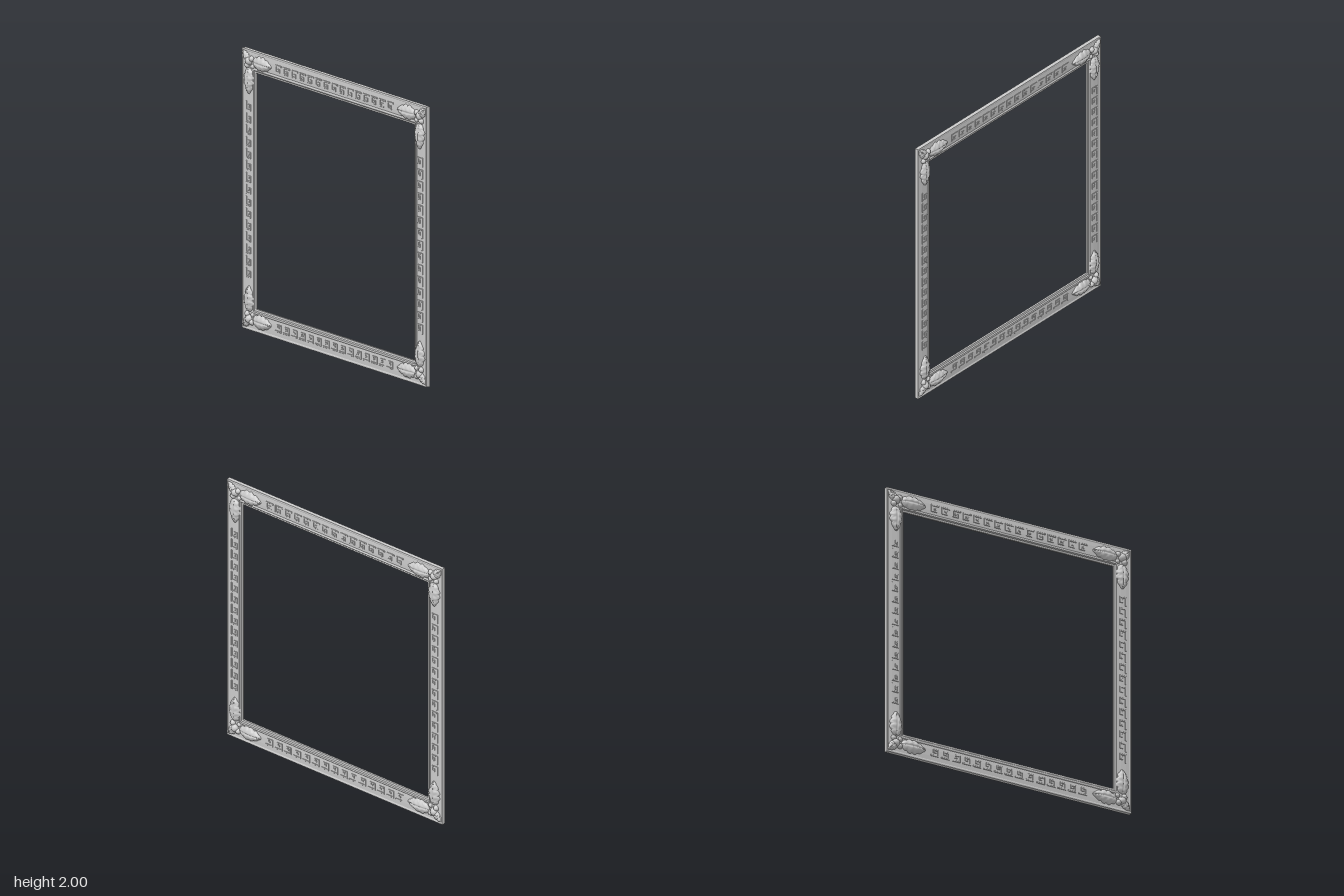
import * as THREE from 'three';
import { mergeGeometries } from 'three/addons/utils/BufferGeometryUtils.js';

const grey = new THREE.MeshStandardMaterial({ color: 0xcccccc });
const leafGrey = new THREE.MeshStandardMaterial({ color: 0xcccccc, side: THREE.DoubleSide });

// Outer and inner corners, anticlockwise from bottom left
const OUTER = [[-0.983, 0], [0.983, 0], [0.983, 2], [-0.983, 2]];
const INNER = [[-0.845, 0.16], [0.845, 0.16], [0.845, 1.845], [-0.845, 1.845]];

// Moulding section: [0 = outer edge .. 1 = inner edge, z]
const PROFILE = [
  [0, -0.014], [0, 0.014], [0.06, 0.015], [0.1, 0.012], [0.3, 0.014], [0.6, 0.014],
  [0.78, 0.012], [0.82, 0.016], [0.88, 0.016], [0.92, 0.009], [1, 0.007],
  [1, -0.007], [0.92, -0.009], [0.88, -0.016], [0.82, -0.016], [0.78, -0.012],
  [0.6, -0.014], [0.3, -0.014], [0.1, -0.012], [0.06, -0.015],
];

// Section swept round the four mitred corners
function mouldingGeometry() {
  const pos = [];
  const point = (c, [t, z]) => [
    THREE.MathUtils.lerp(OUTER[c][0], INNER[c][0], t),
    THREE.MathUtils.lerp(OUTER[c][1], INNER[c][1], t), z];
  for (let c = 0; c < 4; c++) {
    const n = (c + 1) % 4;
    PROFILE.forEach((p, i) => {
      const q = PROFILE[(i + 1) % PROFILE.length];
      const a = point(c, p), b = point(n, p), d = point(n, q), e = point(c, q);
      pos.push(...a, ...b, ...d, ...a, ...d, ...e);
    });
  }
  const g = new THREE.BufferGeometry();
  g.setAttribute('position', new THREE.Float32BufferAttribute(pos, 3));
  g.computeVertexNormals();
  return g;
}

// Lobed, domed leaf growing along +x with a grooved midrib and veins
function leafGeometry(length, width, height) {
  const g = new THREE.PlaneGeometry(1, 2, 48, 20);
  const p = g.attributes.position;
  for (let i = 0; i < p.count; i++) {
    const u = p.getX(i) + 0.5, v = p.getY(i), av = Math.abs(v);
    const lobe = (u * 4.5) % 1;
    const half = width / 2 * Math.pow(Math.sin(Math.PI * Math.pow(u, 0.8)), 0.65)
      * (0.78 + 0.22 * Math.sin(Math.PI * lobe));
    const dome = Math.pow(Math.max(0, 1 - v * v), 0.5)
      * Math.pow(Math.max(0, Math.sin(Math.PI * u)), 0.4);
    const groove = 1 - 0.25 * Math.exp(-Math.pow(v / 0.12, 2));
    const vein = 1 - 0.15 * av * (1 + Math.cos(2 * Math.PI * (u * 4.5 - av * 0.6)));
    p.setXYZ(i, length * u, v * half, 0.008 + height * dome * groove * vein);
  }
  g.computeVertexNormals();
  return g;
}

// One hook of the key pattern, centred on its cell
function keyGeometry() {
  const path = [[-0.034, -0.03], [0.03, -0.03], [0.03, 0.022], [-0.014, 0.022], [-0.014, -0.004],
    [0.008, -0.004], [0.008, 0.004], [-0.006, 0.004], [-0.006, 0.014], [0.022, 0.014],
    [0.022, -0.022], [-0.034, -0.022]];
  const shape = new THREE.Shape(path.map(([x, y]) => new THREE.Vector2(x, y)));
  return new THREE.ExtrudeGeometry(shape, {
    depth: 0.003, bevelThickness: 0.0015, bevelSize: 0.0015, bevelSegments: 1,
  }).translate(0, 0, 0.0125);
}

// Key pattern along all four rails, merged into one relief
function keyRelief() {
  const parts = [], hook = keyGeometry(), count = 15;
  const rails = [[0, 0.08, 0], [0.912, 1, Math.PI / 2], [0, 1.923, Math.PI], [-0.912, 1, -Math.PI / 2]];
  for (const [x, y, angle] of rails) {
    for (let i = 0; i < count; i++) {
      const s = (i - (count - 1) / 2) * 0.085;
      parts.push(hook.clone().rotateZ(angle)
        .translate(x + s * Math.cos(angle), y + s * Math.sin(angle), 0));
    }
  }
  return mergeGeometries(parts);
}

// Leaves and buds for one corner; sx, sy point towards the outer corner
function cornerOrnament(sx, sy) {
  const group = new THREE.Group();
  group.name = 'cornerOrnament';
  group.position.set(sx * 0.91, 1 + sy * 0.922, 0);
  const add = (name, geometry, x, y, angle = 0) => {
    const m = new THREE.Mesh(geometry, name === 'bud' ? grey : leafGrey);
    m.name = name;
    m.position.set(sx * x, sy * y, 0);
    m.rotation.z = angle;
    group.add(m);
    return m;
  };
  add('railLeaf', leafGeometry(0.2, 0.115, 0.034), -0.04, 0, sx > 0 ? Math.PI : 0);
  add('stileLeaf', leafGeometry(0.19, 0.11, 0.034), 0, -0.05, -sy * Math.PI / 2);
  add('cornerLeaf', leafGeometry(0.1, 0.07, 0.026), -0.01, -0.01, Math.atan2(sy, sx));
  // Cluster of flattened buds: [x, y, radius, height]
  for (const [x, y, r, h] of [[0, 0, 0.034, 0.042], [-0.03, 0.018, 0.024, 0.035],
    [0.018, -0.034, 0.024, 0.035], [0.03, 0.014, 0.022, 0.032], [-0.036, -0.036, 0.02, 0.026]]) {
    add('bud', new THREE.SphereGeometry(1, 20, 12), x, y).scale.set(r, r, h);
  }
  return group;
}

export function createModel() {
  const model = new THREE.Group();
  model.name = 'ornateFrame';
  const moulding = new THREE.Mesh(mouldingGeometry(), grey);
  moulding.name = 'moulding';
  model.add(moulding);

  // The same carving on the front and, turned round, on the back
  const keys = keyRelief();
  for (const side of ['front', 'back']) {
    const face = new THREE.Group();
    face.name = side + 'Carving';
    const relief = new THREE.Mesh(keys, grey);
    relief.name = 'keyPattern';
    face.add(relief);
    for (const sx of [-1, 1]) for (const sy of [-1, 1]) face.add(cornerOrnament(sx, sy));
    if (side === 'back') face.rotation.y = Math.PI;
    model.add(face);
  }
  return model;
}
